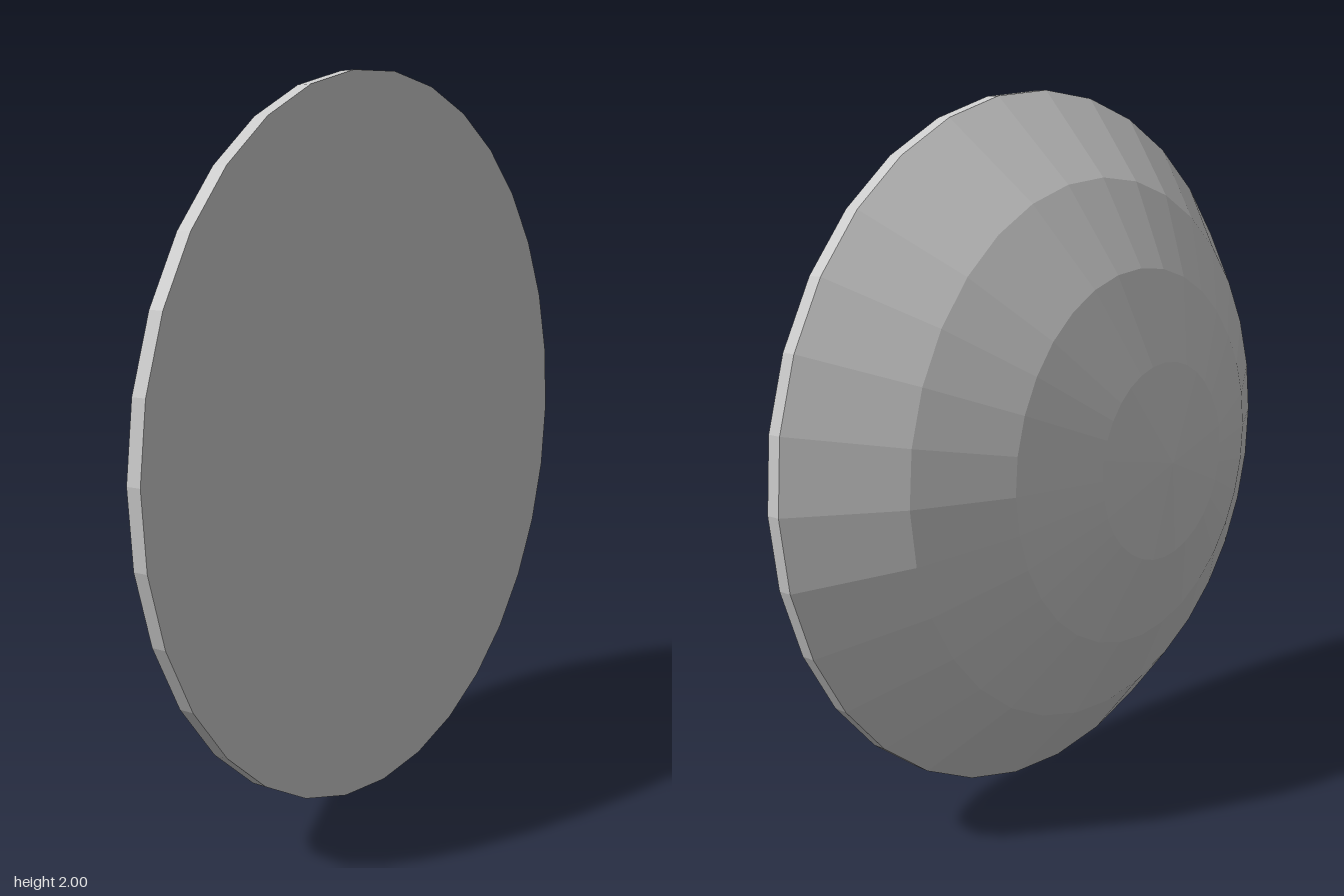
import * as THREE from 'three';

export function createModel() {
  const group = new THREE.Group();
  const material = new THREE.MeshStandardMaterial({ color: 0xcccccc, flatShading: true });

  // Half profile [radius, height]: shallow dome, thin rim band, flat closing face
  const profile = [
    [0, -0.475], [0.275, -0.446], [0.525, -0.368], [0.764, -0.24],
    [1, -0.041], [1, 0], [0, 0],
  ].map(([r, h]) => new THREE.Vector2(r, h));

  const geometry = new THREE.LatheGeometry(profile, 32, -0.021);
  geometry.rotateZ(-Math.PI / 2); // flat face towards +x
  geometry.rotateY(THREE.MathUtils.degToRad(11.25)); // turned slightly to the back

  const dome = new THREE.Mesh(geometry, material);
  dome.name = 'dome';
  dome.position.set(0.143, 1, -0.004);
  group.add(dome);
  return group;
}
